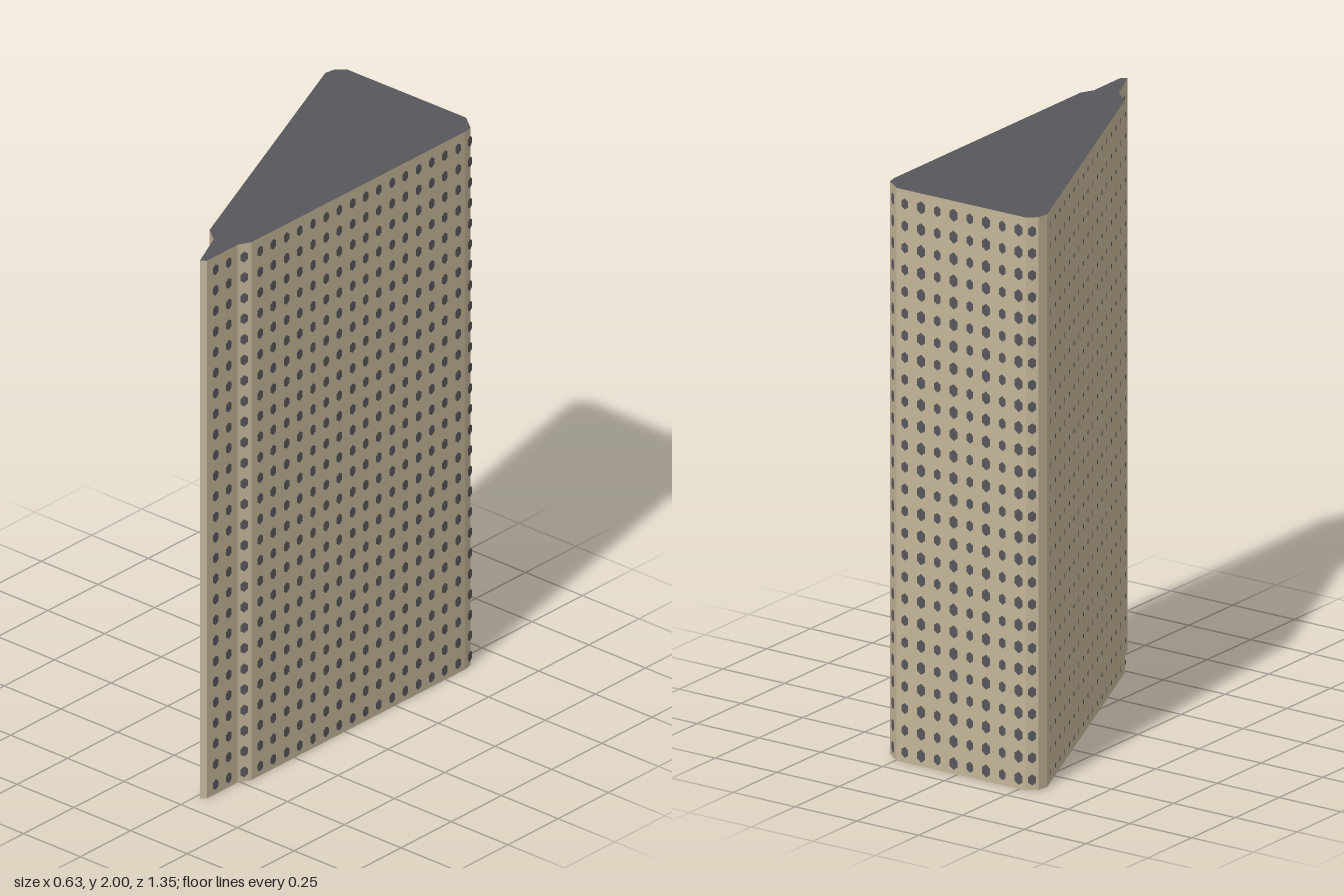
import * as THREE from 'three';
import { mergeGeometries } from 'three/addons/utils/BufferGeometryUtils.js';

// Plan outline [x, z]: back edge, right side, front tip, slanted side
const OUTLINE = [
  [-0.314, -0.607], [-0.307, -0.646], [-0.275, -0.673], [0.246, -0.675],
  [0.304, -0.632], [0.311, -0.596], [0.308, 0.464], [0.286, 0.507],
  [0.286, 0.661], [0.268, 0.675], [0.2, 0.529], [0.146, 0.489],
];
const HEIGHT = 2, PITCH = 0.0655, ROWS = 26, ROW_PITCH = 0.0766, FIRST_ROW = 0.036;

export function createModel() {
  const group = new THREE.Group();
  const tan = new THREE.MeshStandardMaterial({ color: 0xc3b598 });
  tan.name = 'tanPanel';
  const dark = new THREE.MeshStandardMaterial({ color: 0x57575c });
  dark.name = 'darkGrey';

  // Wedge shaped body with dark end caps
  const shape = new THREE.Shape(OUTLINE.map(([x, z]) => new THREE.Vector2(x, -z)));
  const bodyGeo = new THREE.ExtrudeGeometry(shape, { depth: HEIGHT, bevelEnabled: false });
  bodyGeo.rotateX(-Math.PI / 2);
  const body = new THREE.Mesh(bodyGeo, [dark, tan]);
  body.name = 'wedgeBody';
  group.add(body);

  // One vertical column of perforations on an outline edge, at fraction t along it
  function dotColumn(edge, t, radius) {
    const [ax, az] = OUTLINE[edge], [bx, bz] = OUTLINE[(edge + 1) % OUTLINE.length];
    const dx = bx - ax, dz = bz - az, len = Math.hypot(dx, dz);
    const nx = dz / len, nz = -dx / len, lift = 0.0015;
    const dots = [];
    for (let row = 0; row < ROWS; row++) {
      const dot = new THREE.CircleGeometry(radius, 6, Math.PI / 6);
      dot.scale(0.9, 1.15, 1);
      dot.rotateY(Math.atan2(nx, nz));
      dot.translate(ax + dx * t + nx * lift, FIRST_ROW + row * ROW_PITCH, az + dz * t + nz * lift);
      dots.push(dot);
    }
    return dots;
  }

  // Columns evenly spaced in z over a run of edges
  function columnsAlongZ(edges, radiusOf) {
    const dots = [];
    for (let i = 0; i < 20; i++) {
      const z = 0.618 - i * PITCH;
      for (const e of edges) {
        const a = OUTLINE[e][1], b = OUTLINE[(e + 1) % OUTLINE.length][1];
        const t = (z - a) / (b - a);
        if (t >= 0 && t < 1) dots.push(...dotColumn(e, t, radiusOf(e)));
      }
    }
    return dots;
  }

  function addDots(name, dots) {
    const mesh = new THREE.Mesh(mergeGeometries(dots), dark);
    mesh.name = name;
    group.add(mesh);
  }

  // Straight side and its chamfers
  addDots('straightSideHoles', columnsAlongZ([4, 5, 6, 7], () => 0.0175));

  // Back panel and its corner chamfers
  const backDots = [...dotColumn(3, 0.5, 0.019), ...dotColumn(1, 0.5, 0.017)];
  for (let i = 0; i < 8; i++) {
    const x = 0.212 - i * PITCH;
    backDots.push(...dotColumn(2, (x + 0.275) / 0.521, i % 2 ? 0.02 : 0.017));
  }
  addDots('backPanelHoles', backDots);

  // Slanted side has fine holes, its front step larger ones
  addDots('slantedSideHoles', [
    ...columnsAlongZ([9, 11], () => 0.009),
    ...dotColumn(10, 0.35, 0.016),
  ]);

  return group;
}
